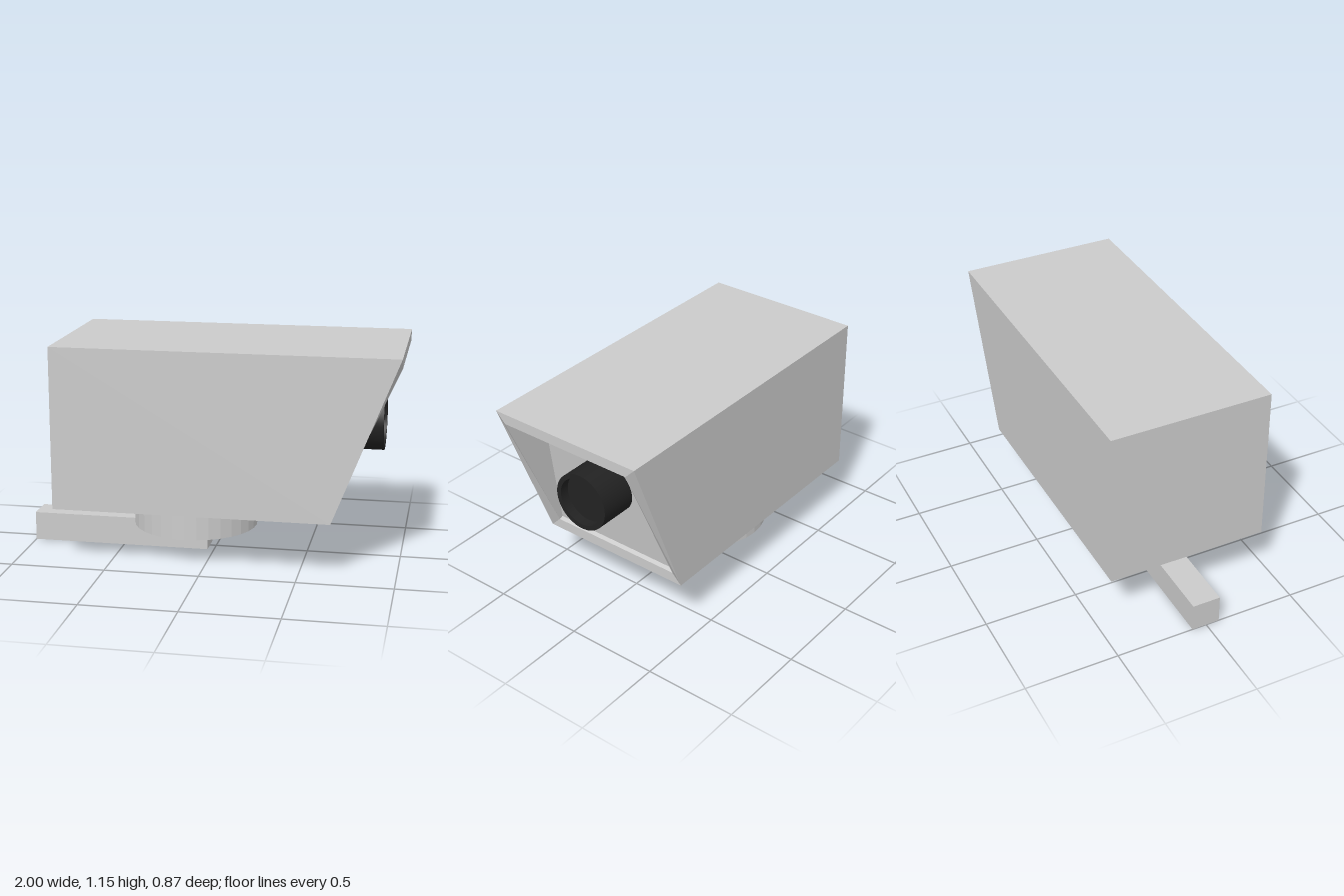
import * as THREE from 'three';

const grey = () => new THREE.MeshStandardMaterial({ color: 0xcccccc, flatShading: true });
const black = new THREE.MeshStandardMaterial({ color: 0x222222 });
const red = new THREE.MeshStandardMaterial({ color: 0xcc2222 });

// Rectangular cross-section facing +x, which may lean: bottom and top have their own x.
function section(xBottom, yBottom, xTop, yTop, halfZ) {
  return [
    [xBottom, yBottom, halfZ], [xBottom, yBottom, -halfZ],
    [xTop, yTop, -halfZ], [xTop, yTop, halfZ],
  ];
}

// Skin a run of sections with flat quads and cap both ends.
function skin(sections) {
  const pos = [];
  const quad = (a, b, c, d) => pos.push(...a, ...b, ...c, ...a, ...c, ...d);
  for (let s = 0; s < sections.length - 1; s++) {
    const p = sections[s], q = sections[s + 1];
    for (let i = 0; i < 4; i++) {
      const j = (i + 1) % 4;
      quad(p[i], p[j], q[j], q[i]);
    }
  }
  const [a, b, c, d] = sections[0];
  quad(d, c, b, a);
  quad(...sections[sections.length - 1]);
  const g = new THREE.BufferGeometry();
  g.setAttribute('position', new THREE.Float32BufferAttribute(pos, 3));
  g.computeVertexNormals();
  return g;
}

// Turn a [radius, distance] profile around an axis that points along +x.
function turned(profile, segments) {
  const pos = [];
  for (let i = 0; i < profile.length - 1; i++) {
    pos.push(new THREE.LatheGeometry([profile[i], profile[i + 1]].map(([r, h]) => new THREE.Vector2(r, h)), segments));
  }
  return pos.map((g) => g.rotateZ(-Math.PI / 2));
}

export function createModel() {
  const model = new THREE.Group();
  const add = (name, geometry, material, x = 0, y = 0, z = 0, parent = model) => {
    const mesh = new THREE.Mesh(geometry, material);
    mesh.name = name;
    mesh.position.set(x, y, z);
    parent.add(mesh);
    return mesh;
  };
  const addTurned = (name, profile, segments, material, x, y, z) => {
    const group = new THREE.Group();
    group.name = name;
    group.position.set(x, y, z);
    turned(profile, segments).forEach((g) => add(name + 'Surface', g, material, 0, 0, 0, group));
    model.add(group);
  };

  // Housing: back, slanted front edge, rim, then the sunken front panel
  add('housing', skin([
    section(-0.79, 0.295, -0.79, 1.155, 0.433),
    section(0.665, 0.295, 1.0, 1.155, 0.433),
    section(0.665, 0.35, 1.0, 1.1, 0.379),
    section(0.643, 0.358, 0.75, 1.13, 0.379),
  ]), grey());

  // Lens barrel with a recessed glass
  addTurned('lens', [[0.155, 0], [0.155, 0.3], [0.13, 0.3], [0.13, 0.25], [0, 0.25]], 48, black, 0.6, 0.745, 0);

  // Indicator light with a bevelled tip
  addTurned('indicatorLight', [[0.047, 0], [0.047, 0.1], [0.04, 0.115], [0, 0.115]], 32, red, 0.61, 0.505, 0.218);

  // Swivel disc and mounting arm
  add('swivelDisc', new THREE.CylinderGeometry(0.333, 0.333, 0.162, 32), grey(), -0.11, 0.215, 0);
  add('mountingArm', new THREE.BoxGeometry(0.965, 0.155, 0.152), grey(), -0.5175, 0.0775, -0.003);

  return model;
}
